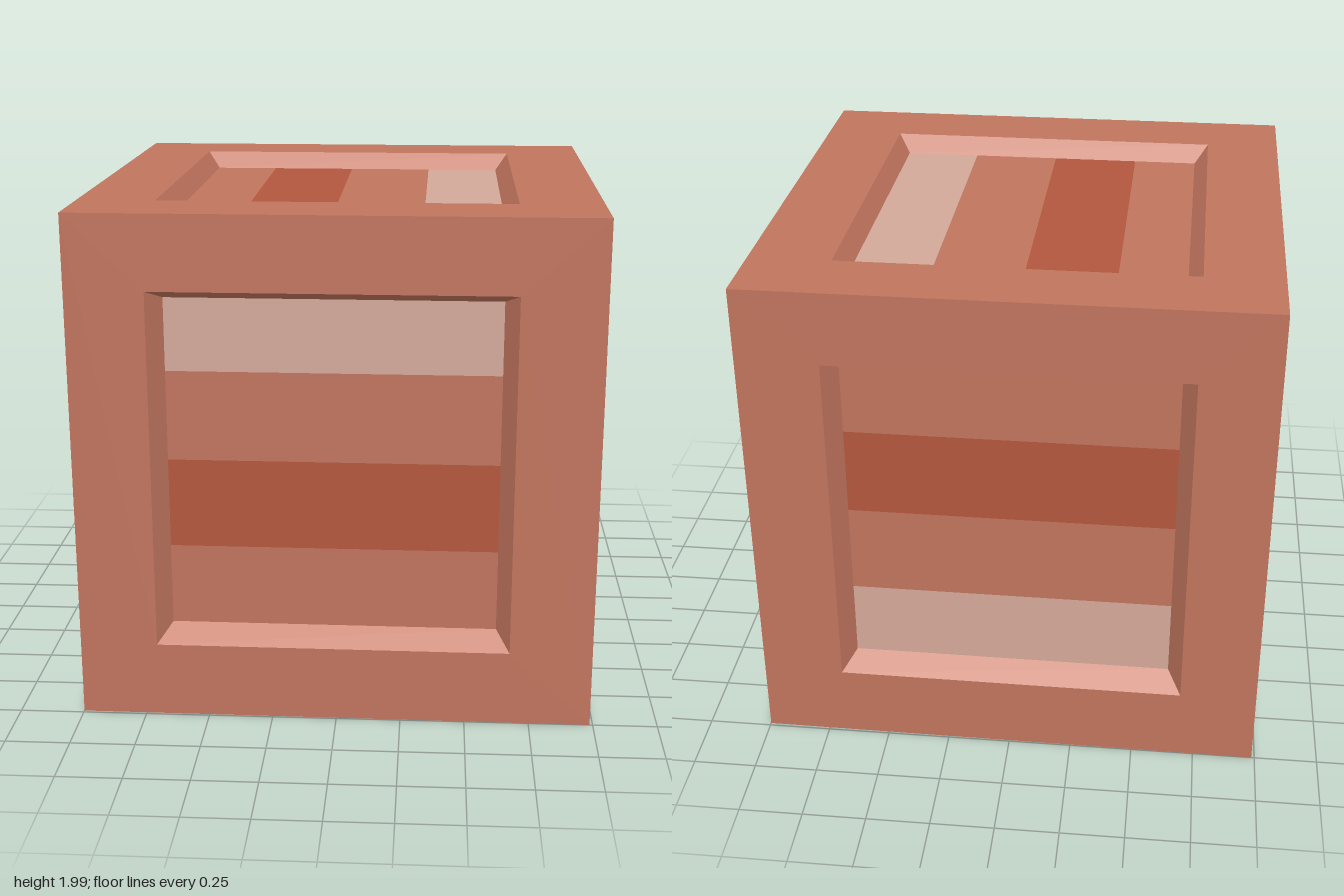
import * as THREE from 'three';

const SIZE = 1.988, H = SIZE / 2;

// Extents along x, y, z of the cube, the recess mouths and the recess floors
const OUTER = [[-H, H], [0, SIZE], [-H, H]];
const MOUTH = [[-0.694, 0.676], [0.294, 1.7], [-0.706, 0.704]];
const FLOOR = [[-0.64, 0.624], [0.36, 1.663], [-0.648, 0.644]];

// axis: facing axis, dir: which way it faces, along: axis the stripes are stacked on,
// cuts: stripe borders, colors: stripe materials from low to high
const SIDES = [
  { name: 'front', axis: 2, dir: 1, depth: 0.08, along: 1, cuts: [0.68, 1.03, 1.38], colors: ['clay', 'rust', 'clay', 'pale'] },
  { name: 'back', axis: 2, dir: -1, depth: 0.08, along: 1, cuts: [0.67, 1.03, 1.38], colors: ['pale', 'clay', 'rust', 'clay'] },
  { name: 'left', axis: 0, dir: 1, depth: 0.067, along: 2, cuts: [-0.346, 0, 0.354], colors: ['clay', 'rust', 'clay', 'pale'] },
  { name: 'right', axis: 0, dir: -1, depth: 0.067, along: 2, cuts: [-0.354, 0, 0.346], colors: ['pale', 'clay', 'rust', 'clay'] },
  { name: 'top', axis: 1, dir: 1, depth: 0.067, along: 0, cuts: [-0.38, -0.03, 0.32], colors: ['clay', 'rust', 'clay', 'pale'] },
  { name: 'bottom', axis: 1, dir: -1, depth: 0.067, along: 0, cuts: [-0.38, -0.03, 0.32], colors: ['clay', 'rust', 'clay', 'pale'] },
];

// Four corners of a rectangle across the given axis, turning to face dir
function corners(bounds, axis, dir, level) {
  const u = (axis + 1) % 3, v = (axis + 2) % 3;
  const loop = [[0, 0], [1, 0], [1, 1], [0, 1]].map(([i, j]) => {
    const p = [0, 0, 0];
    p[axis] = level;
    p[u] = bounds[u][i];
    p[v] = bounds[v][j];
    return p;
  });
  return dir > 0 ? loop : loop.reverse();
}

// Flat geometry from a list of quads
function quads(list) {
  const points = list.flatMap(([a, b, c, d]) => [a, b, c, a, c, d]).flat();
  const geometry = new THREE.BufferGeometry();
  geometry.setAttribute('position', new THREE.Float32BufferAttribute(points, 3));
  geometry.computeVertexNormals();
  return geometry;
}

// Quads joining an outer loop to an inner loop
function ring(outer, inner) {
  return outer.map((p, i) => {
    const j = (i + 1) % 4;
    return [p, outer[j], inner[j], inner[i]];
  });
}

export function createModel() {
  const material = (name, color) => {
    const m = new THREE.MeshStandardMaterial({ color });
    m.name = name;
    return m;
  };
  const materials = {
    clay: material('clay', 0xc0745d),
    rust: material('rust', 0xb3573e),
    pale: material('pale clay', 0xd3a899),
  };

  const model = new THREE.Group();
  model.name = 'crate';

  for (const { name, axis, dir, depth, along, cuts, colors } of SIDES) {
    const side = new THREE.Group();
    side.name = `${name}Side`;
    const add = (part, list, color) => {
      const mesh = new THREE.Mesh(quads(list), materials[color]);
      mesh.name = part;
      side.add(mesh);
    };

    const level = OUTER[axis][dir > 0 ? 1 : 0];
    const floorLevel = level - dir * depth;
    const mouth = corners(MOUTH, axis, dir, level);

    // Flat border and the sloping walls of the recess
    add('frame', ring(corners(OUTER, axis, dir, level), mouth), 'clay');
    add('recessWalls', ring(mouth, corners(FLOOR, axis, dir, floorLevel)), 'clay');

    // Striped floor of the recess
    const edges = [FLOOR[along][0], ...cuts, FLOOR[along][1]];
    colors.forEach((color, i) => {
      const bounds = FLOOR.slice();
      bounds[along] = [edges[i], edges[i + 1]];
      add(`panelStripe${i + 1}`, [corners(bounds, axis, dir, floorLevel)], color);
    });
    model.add(side);
  }

  // The crate sits very slightly turned
  model.rotation.y = -0.006;
  return model;
}
